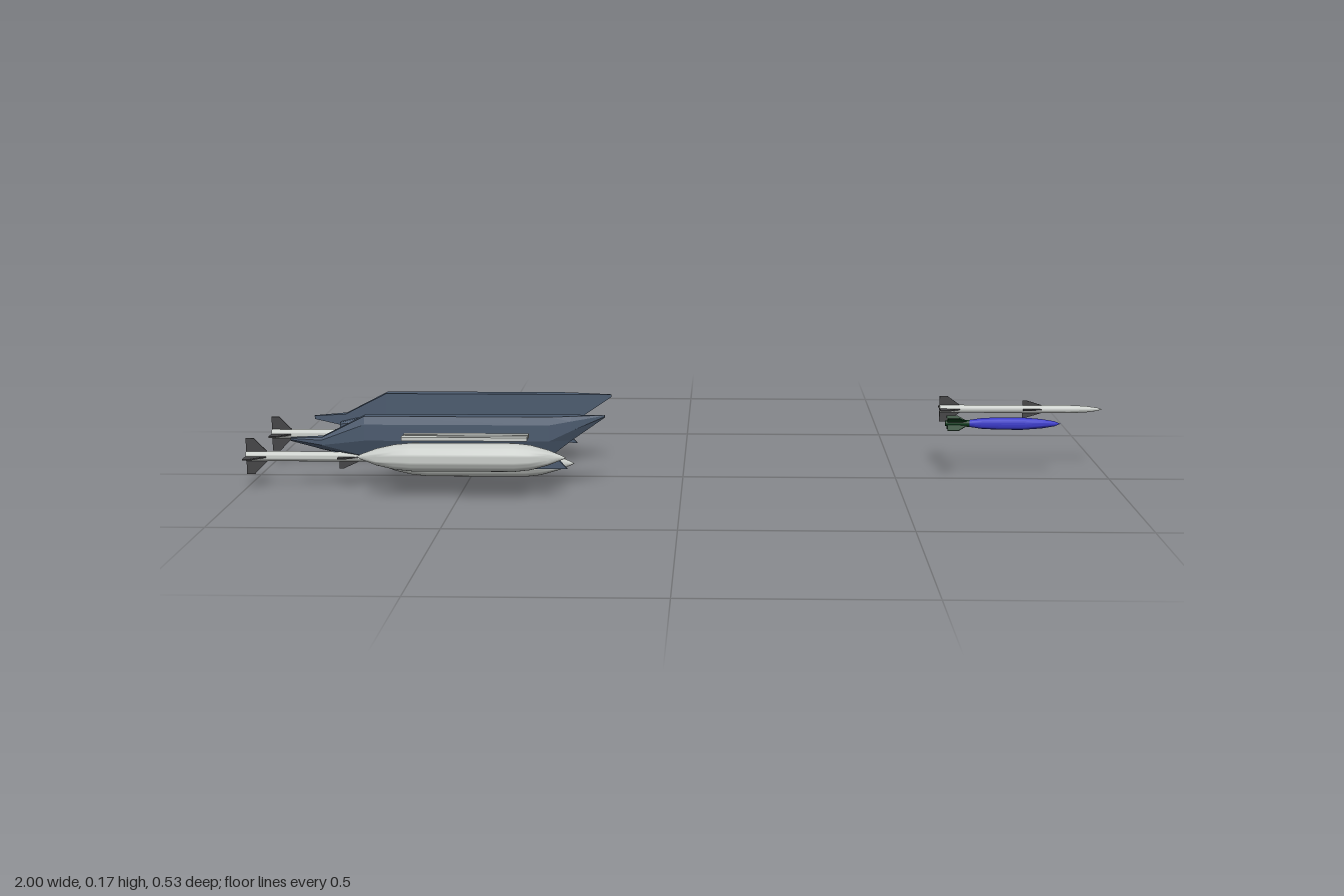
import * as THREE from 'three';
import { toCreasedNormals } from 'three/addons/utils/BufferGeometryUtils.js';

const mat = (name, color) => {
  const m = new THREE.MeshStandardMaterial({ color });
  m.name = name;
  return m;
};

export function createModel() {
  const root = new THREE.Group();
  root.name = 'stores';
  const paleGrey = mat('paleGrey', 0xc8ccc8);
  const midGrey = mat('midGrey', 0x979b97);
  const darkGrey = mat('darkGrey', 0x444446);
  const slate = mat('slateBlue', 0x4b5a6e);
  const blue = mat('blue', 0x3a3ac8);
  const green = mat('darkGreen', 0x0c3c1c);

  const add = (parent, name, geo, m, x = 0, y = 0, z = 0) => {
    const mesh = new THREE.Mesh(geo, m);
    mesh.name = name;
    mesh.position.set(x, y, z);
    parent.add(mesh);
    return mesh;
  };
  const group = (parent, name, x = 0, y = 0, z = 0) => {
    const g = new THREE.Group();
    g.name = name;
    g.position.set(x, y, z);
    parent.add(g);
    return g;
  };

  // Round body along +x from [x, radius] points
  const turned = (pts, seg = 24) => {
    const g = new THREE.LatheGeometry(pts.map(([x, r]) => new THREE.Vector2(r, x)), seg);
    return toCreasedNormals(g.rotateZ(-Math.PI / 2), 0.6);
  };

  // Flat plate in the x-y plane, centred on z = 0
  const plate = (pts, t) => new THREE.ExtrudeGeometry(
    new THREE.Shape(pts.map(([x, y]) => new THREE.Vector2(x, y))),
    { depth: t, bevelEnabled: false }).translate(0, 0, -t / 2);

  // Faceted solid through sections { x, loop: [[y, z], ...] }
  const loft = (sections) => {
    const n = sections[0].loop.length, pos = [], idx = [];
    sections.forEach(s => s.loop.forEach(([y, z]) => pos.push(s.x, y, z)));
    for (let i = 0; i < sections.length - 1; i++) {
      for (let j = 0; j < n; j++) {
        const a = i * n + j, b = i * n + (j + 1) % n;
        idx.push(a, b, b + n, a, b + n, a + n);
      }
    }
    const e = (sections.length - 1) * n;
    for (let j = 1; j < n - 1; j++) idx.push(0, j + 1, j, e, e + j, e + j + 1);
    const g = new THREE.BufferGeometry();
    g.setAttribute('position', new THREE.Float32BufferAttribute(pos, 3));
    g.setIndex(idx);
    const flat = g.toNonIndexed();
    flat.computeVertexNormals();
    return flat;
  };

  const fins = (parent, name, pts, t, m, turn = 0) => {
    for (let i = 0; i < 4; i++) {
      add(parent, name, plate(pts, t), m).rotation.x = turn + i * Math.PI / 2;
    }
  };

  // Drop tanks: one in the middle and one on each side
  const tankGeo = turned([[-0.235, 0], [-0.225, 0.006], [-0.19, 0.019], [-0.15, 0.028], [-0.11, 0.032],
    [0.12, 0.032], [0.155, 0.028], [0.195, 0.017], [0.225, 0.005], [0.235, 0]], 32);
  add(root, 'centreTank', tankGeo, paleGrey, -0.49, 0.034, 0.003);

  // Middle pylon rail with its two mounting pins
  const centre = group(root, 'centrePylon', 0, 0, 0.002);
  add(centre, 'rail', plate([[-0.7, 0.06], [-0.435, 0.06], [-0.45, 0.087], [-0.7, 0.087]], 0.012), midGrey);
  for (const x of [-0.51, -0.68]) {
    add(centre, 'pin', new THREE.BoxGeometry(0.018, 0.04, 0.006), midGrey, x, 0.103, 0);
  }

  // Missile pointing along +x, tail at x = 0
  const missile = (name, len, r, span) => {
    const g = group(root, name);
    add(g, 'body', turned([[0, 0], [0, r], [len * 0.8, r], [len * 0.9, r * 0.8],
      [len * 0.97, r * 0.4], [len, 0]]), paleGrey);
    fins(g, 'tailFin', [[0, 0], [0, span], [0.018, span], [0.048, r], [0.048, 0]], 0.003, darkGrey);
    const m = len * 0.51;
    fins(g, 'midFin', [[m, 0], [m, span * 0.66], [m + 0.01, span * 0.66], [m + 0.045, r], [m + 0.045, 0]],
      0.003, darkGrey);
    return g;
  };

  // Section of the side pylon: flat inside, bulged outside
  const shell = (x, top, bottom, w) => {
    const h = top - bottom, z = 0.127;
    return { x, loop: [[top, z], [top, z + 0.03 * w], [top - h * 0.19, z + 0.036 * w],
      [top - h * 0.58, z + 0.036 * w], [bottom, z + 0.02 * w], [bottom, z]] };
  };
  const rail = (x, k) => ({ x, loop: [[0.1 + 0.018 * k, 0.115], [0.1 + 0.018 * k, 0.129],
    [0.1 - 0.018 * k, 0.129], [0.1 - 0.018 * k, 0.11], [0.1 - 0.012 * k, 0.107], [0.1 + 0.01 * k, 0.107]] });

  for (const s of [1, -1]) {
    const side = group(root, s > 0 ? 'frontSide' : 'rearSide');
    side.scale.z = s;
    add(side, 'sidePylon', loft([shell(-0.895, 0.12, 0.112, 0.2), shell(-0.82, 0.124, 0.095, 0.75),
      shell(-0.72, 0.175, 0.08, 1), shell(-0.3, 0.175, 0.08, 1),
      shell(-0.25, 0.175, 0.118, 0.7), shell(-0.175, 0.175, 0.169, 0.12)]), slate);
    add(side, 'pylonKeel', plate([[-0.72, 0.085], [-0.66, 0.053], [-0.26, 0.053], [-0.3, 0.095]], 0.008),
      slate, 0, 0, 0.145);
    add(side, 'launcher', loft([rail(-0.83, 0.35), rail(-0.78, 1), rail(-0.36, 1), rail(-0.3, 0.4)]), slate);

    // Outer tank with the twin mounting strip above it
    add(side, 'sideTank', tankGeo, paleGrey, -0.49, 0.098, 0.234);
    const mount = group(side, 'tankMount', -0.48, 0.144, 0.234);
    add(mount, 'web', new THREE.BoxGeometry(0.26, 0.004, 0.03), midGrey);
    for (const z of [-0.015, 0.015]) {
      add(mount, 'strip', new THREE.BoxGeometry(0.28, 0.008, 0.019), paleGrey, 0, 0, z);
    }
  }
  for (const s of [1, -1]) missile('carriedMissile', 0.42, 0.0115, 0.042).position.set(-1, 0.075, s * 0.127);
  missile('looseMissile', 0.388, 0.0095, 0.031).position.set(0.612, 0.146, -0.117);

  // Bomb with a green tail
  const bomb = group(root, 'bomb', 0.615, 0.13, -0.018);
  add(bomb, 'bombBody', turned([[0.055, 0.008], [0.085, 0.0125], [0.125, 0.0145], [0.18, 0.0145],
    [0.225, 0.011], [0.255, 0.006], [0.27, 0]]), blue);
  add(bomb, 'bombTail', turned([[0, 0], [0, 0.0065], [0.03, 0.006], [0.056, 0.0085]]), green);
  fins(bomb, 'bombFin', [[0.005, 0], [0.005, 0.021], [0.03, 0.021], [0.05, 0.007], [0.05, 0]], 0.003,
    green, Math.PI / 4);

  return root;
}
